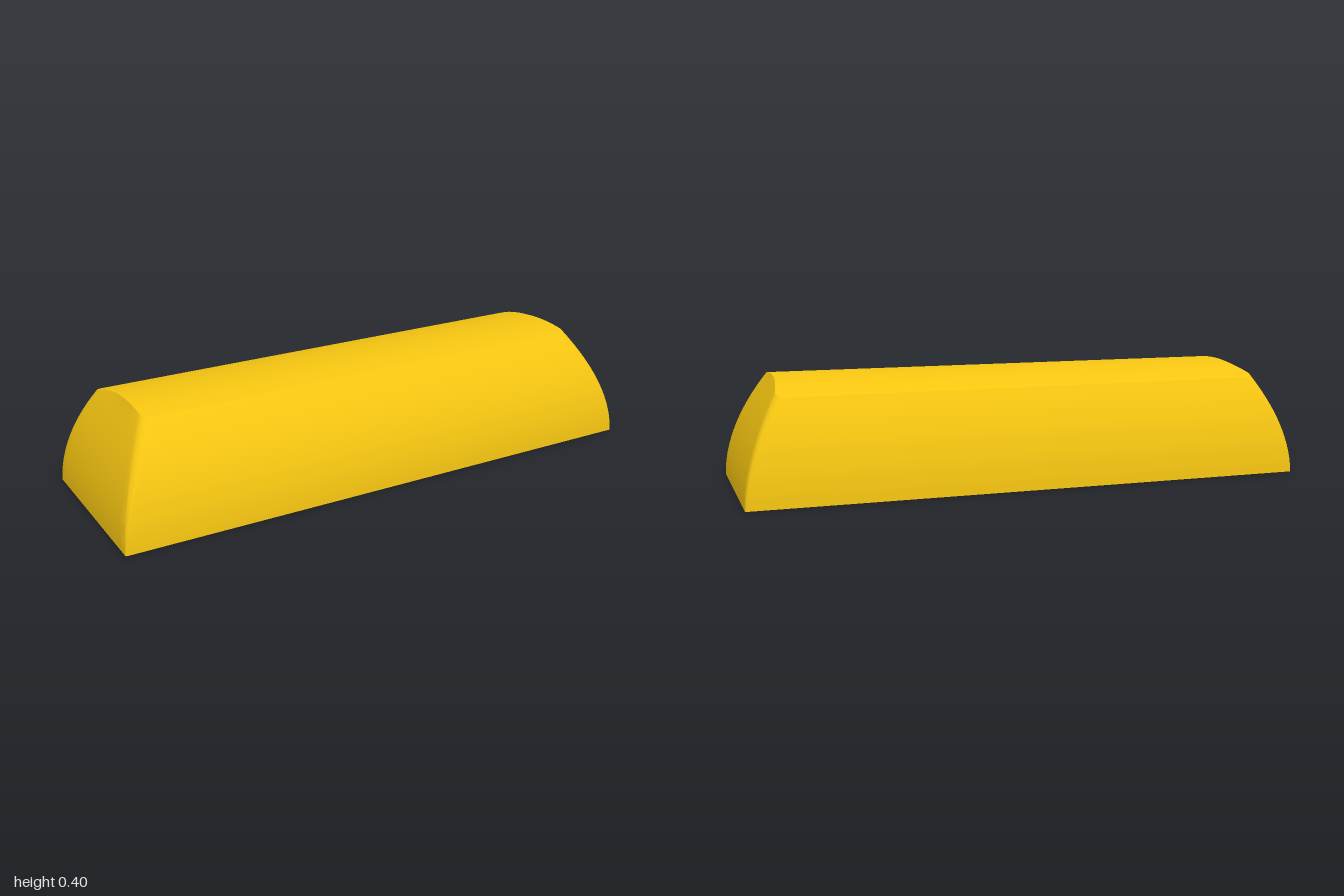
import * as THREE from 'three';
import { toCreasedNormals, mergeGeometries } from 'three/addons/utils/BufferGeometryUtils.js';

const LEVELS = 14, ARC = 6, SIDE = 16;

// Sides bow from a base size to a top size; the top is arched from front to back.
const outer = {
  x: [1, 0.86, 1.8], front: [0.325, 0.182, 2.2], back: [0.325, 0.236, 2.3],
  peak: 0.398, radius: [0.006, 0.04],
};
const inner = {
  x: [0.942, 0.83, 1], front: [0.267, 0.17, 1], back: [0.267, 0.2, 1],
  peak: 0.335, radius: [0.004, 0.02],
};

const bow = ([base, top, power], t) => base + (top - base) * Math.pow(t, power);
const arch = (s, z) => s.peak - 0.64 * (z - 0.04) ** 2;

// One rounded rectangular loop at height fraction t, right half then mirrored left half.
function ring(s, t) {
  const zf = bow(s.front, t), zb = -bow(s.back, t);
  const r = THREE.MathUtils.lerp(s.radius[0], s.radius[1], t);
  const half = [];
  const add = (inset, z) => {
    const f = (z - zb) / (zf - zb);
    const topZ = -s.back[1] + f * (s.front[1] + s.back[1]);
    const y = t * arch(s, topZ);
    half.push([bow(s.x, Math.min(1, y / (s.peak - 0.006))) - inset, y, z]);
  };
  for (let i = 0; i <= ARC; i++) {
    const a = (i / ARC) * Math.PI / 2;
    add(r * (1 - Math.sin(a)), zf - r * (1 - Math.cos(a)));
  }
  for (let i = 1; i < SIDE; i++) add(0, THREE.MathUtils.lerp(zf - r, zb + r, i / SIDE));
  for (let i = 0; i <= ARC; i++) {
    const a = (i / ARC) * Math.PI / 2;
    add(r * (1 - Math.cos(a)), zb + r * (1 - Math.sin(a)));
  }
  return half.concat(half.map(([x, y, z]) => [-x, y, z]).reverse());
}

function buildGeometry(rings, quads) {
  const g = new THREE.BufferGeometry();
  g.setAttribute('position', new THREE.Float32BufferAttribute(rings.flat(2), 3));
  g.setIndex(quads.flatMap(([a, b, c, d]) => [a, b, c, a, c, d]));
  return toCreasedNormals(g, 0.5);
}

// Side walls plus the arched lid; flipped for the hollow inside.
function shell(s, flip) {
  const rings = [], quads = [];
  for (let k = 0; k <= LEVELS; k++) rings.push(ring(s, k / LEVELS));
  const n = rings[0].length, top = LEVELS * n;
  for (let k = 0; k < LEVELS; k++) {
    for (let j = 0; j < n; j++) {
      const a = k * n + j, b = k * n + (j + 1) % n;
      quads.push([a, b, b + n, a + n]);
    }
  }
  for (let j = 0; j < n / 2 - 1; j++) {
    quads.push([top + j, top + j + 1, top + n - 2 - j, top + n - 1 - j]);
  }
  return buildGeometry(rings, flip ? quads.map((q) => q.reverse()) : quads);
}

// Flat downward-facing band between the outer and inner walls.
function rim() {
  const rings = [ring(outer, 0), ring(inner, 0)], n = rings[0].length, quads = [];
  for (let j = 0; j < n; j++) {
    const k = (j + 1) % n;
    quads.push([j, n + j, n + k, k]);
  }
  return buildGeometry(rings, quads);
}

// Round post with a cross-shaped socket in its lower end.
function stemGeometry() {
  const R = 0.096, L = 0.073, W = 0.022, DEPTH = 0.15, HEIGHT = 0.36;
  const shape = new THREE.Shape().absarc(0, 0, R, 0, Math.PI * 2, false);
  const cross = [];
  for (let i = 0; i < 4; i++) {
    const c = Math.round(Math.cos(i * Math.PI / 2)), s = Math.round(Math.sin(i * Math.PI / 2));
    for (const [x, y] of [[L, -W], [L, W], [W, W]]) {
      cross.push(new THREE.Vector2(x * c - y * s, x * s + y * c));
    }
  }
  shape.holes.push(new THREE.Path(cross.reverse()));
  const socket = new THREE.ExtrudeGeometry(shape, { depth: DEPTH, bevelEnabled: false, curveSegments: 24 });
  socket.rotateX(-Math.PI / 2);
  const post = new THREE.CylinderGeometry(R, R, HEIGHT - DEPTH, 48).toNonIndexed();
  post.translate(0, (HEIGHT + DEPTH) / 2, 0);
  return toCreasedNormals(mergeGeometries([socket, post]), 0.5);
}

export function createModel() {
  const model = new THREE.Group();
  model.name = 'wideKeycap';
  const material = new THREE.MeshStandardMaterial({ color: 0xf5c511 });
  const add = (name, geometry, x = 0) => {
    const mesh = new THREE.Mesh(geometry, material);
    mesh.name = name;
    mesh.position.x = x;
    model.add(mesh);
  };

  add('outerShell', shell(outer, false));
  add('innerShell', shell(inner, true));
  add('bottomRim', rim());

  const stem = stemGeometry();
  add('rightStem', stem, -0.665);
  add('middleStem', stem, 0);
  add('leftStem', stem, 0.665);
  return model;
}
